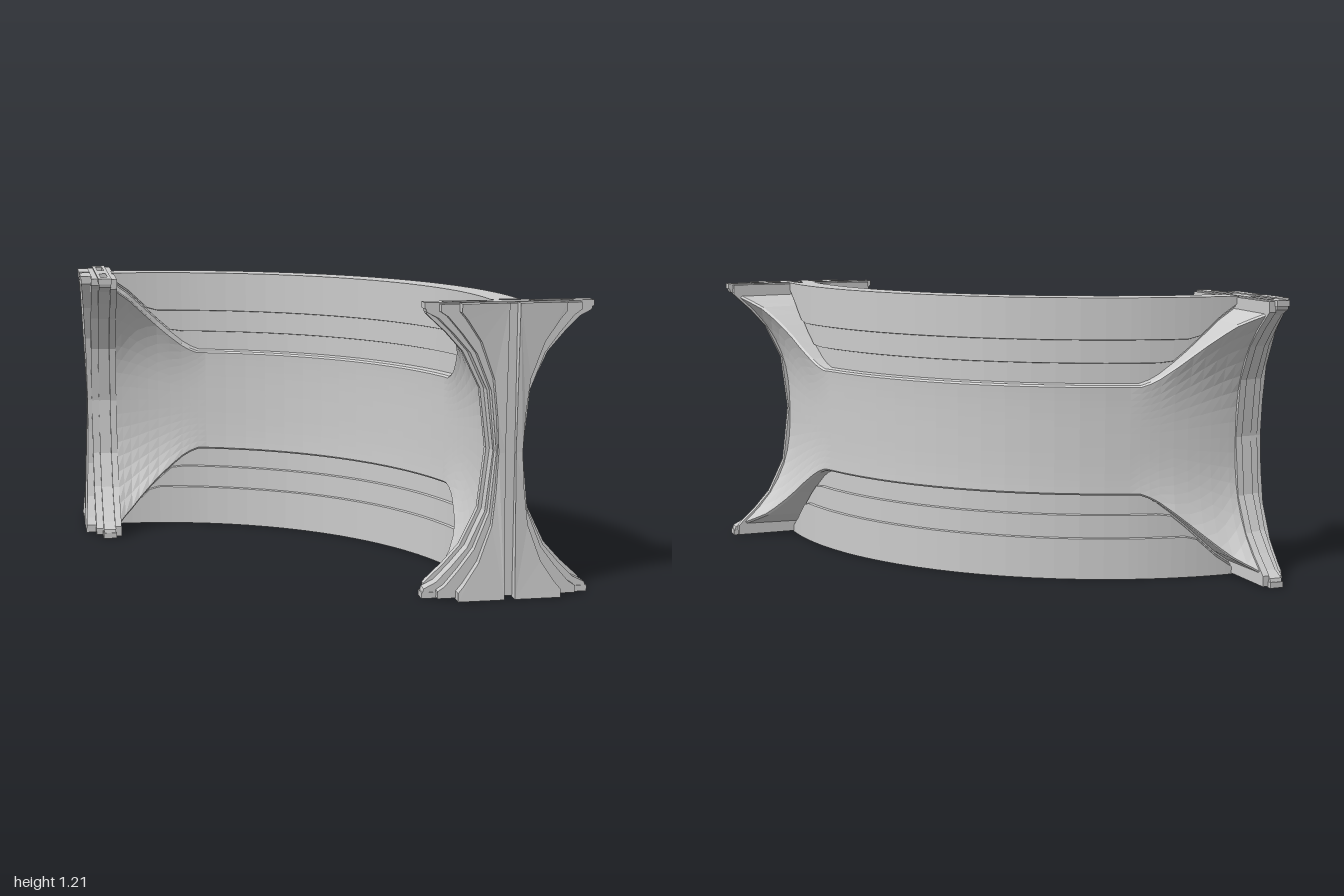
import * as THREE from 'three';

const MID = 0.605;    // half of the height
const RADIUS = 1.5;   // centre line of the curved wall
const LENGTH = RADIUS * Math.PI / 2;
const material = new THREE.MeshStandardMaterial({ color: 0xcccccc, flatShading: true });

// Piecewise linear lookup in [[x, y], ...]
function lookup(table, x) {
  if (x <= table[0][0]) return table[0][1];
  for (let i = 1; i < table.length; i++) {
    const [x0, y0] = table[i - 1], [x1, y1] = table[i];
    if (x <= x1) return y0 + (y1 - y0) * (x - x0) / (x1 - x0);
  }
  return table[table.length - 1][1];
}

// Half height and edge offset of the panel, by distance from the nearest end
const PANEL_HEIGHT = [[0, 0.545], [0.08, 0.49], [0.25, 0.335], [0.36, 0.25], [0.42, 0.228]];
const PANEL_FLARE = [[0, 0.31], [0.05, 0.25], [0.1, 0.2], [0.2, 0.135], [0.35, 0.09], [0.45, 0.075]];

// Closed wall section as [radial offset, y]: flared panel, then stepped bands
function wallSection(s) {
  const d = Math.min(s, LENGTH - s);
  const h = lookup(PANEL_HEIGHT, d), flare = lookup(PANEL_FLARE, d);
  const upper = [];
  for (let i = 0; i <= 8; i++) {
    const k = i / 8;
    upper.push([0.07 + (flare - 0.07) * Math.pow(k, 2.7), k * h]);
  }
  const y1 = Math.max(0.325, h + 0.02), y2 = Math.max(0.425, h + 0.03);
  upper.push([flare - 0.008, h + 0.008], [0.035, h + 0.012], [0.035, y1], [0.048, y1 + 0.003],
    [0.048, y2], [0.06, y2 + 0.003], [0.06, MID]);
  const lower = upper.slice(1).reverse().map(([o, y]) => [o, -y]);
  const outer = [...lower, ...upper];
  const inner = [...outer].reverse().map(([o, y]) => [-o, y]);
  return [...outer, ...inner];
}

function curvedWall() {
  const stations = [];
  const ends = [0, 0.04, 0.08, 0.12, 0.17, 0.22, 0.28, 0.34, 0.38, 0.42, 0.46];
  stations.push(...ends);
  for (let i = 1; i < 14; i++) stations.push(0.46 + (LENGTH - 0.92) * i / 14);
  stations.push(...ends.map(s => LENGTH - s).reverse());

  const positions = [], index = [];
  let n = 0;
  stations.forEach((s, i) => {
    const t = s / RADIUS, section = wallSection(s);
    n = section.length;
    section.forEach(([o, y], j) => {
      const r = RADIUS + o;
      positions.push(-0.85 + r * Math.sin(t), MID + y, 0.85 - r * Math.cos(t));
      if (i === stations.length - 1) return;
      const a = i * n + j, b = i * n + (j + 1) % n;
      index.push(a, b, a + n, b, b + n, a + n);
    });
  });
  const geometry = new THREE.BufferGeometry();
  geometry.setAttribute('position', new THREE.Float32BufferAttribute(positions, 3));
  geometry.setIndex(index);
  geometry.computeVertexNormals();
  return geometry;
}

function addMesh(parent, name, geometry) {
  const mesh = new THREE.Mesh(geometry, material);
  mesh.name = name;
  parent.add(mesh);
  return mesh;
}

// Hourglass slab from a half-width profile [[x, y], ...] starting at mid height
function hourglass(profile, z0, z1, innerX) {
  const right = [...profile.slice(1).reverse().map(([x, y]) => [x, -y]), ...profile];
  const top = profile[profile.length - 1][1];
  const left = innerX === undefined
    ? [...right].reverse().map(([x, y]) => [-x, y])
    : [[innerX, top], [innerX, 0], [innerX, -top]];
  const shape = new THREE.Shape([...right, ...left].map(([x, y]) => new THREE.Vector2(x, y)));
  const geometry = new THREE.ExtrudeGeometry(shape, { depth: z1 - z0, bevelEnabled: false });
  return geometry.translate(0, MID, z0);
}

// Slotted strip closing the top or bottom of the flange plate
function slottedCap() {
  const rect = (Path, x0, x1, y0, y1) => new Path([
    new THREE.Vector2(x0, y0), new THREE.Vector2(x1, y0),
    new THREE.Vector2(x1, y1), new THREE.Vector2(x0, y1)]);
  const shape = rect(THREE.Shape, -0.35, 0.35, 0.015, 0.075);
  shape.holes.push(rect(THREE.Path, 0.09, 0.27, 0.03, 0.06), rect(THREE.Path, -0.27, -0.09, 0.03, 0.06));
  const geometry = new THREE.ExtrudeGeometry(shape, { depth: 0.025, bevelEnabled: false });
  return geometry.rotateX(Math.PI / 2); // shape y becomes z, body hangs below y = 0
}

function endFlange() {
  const flange = new THREE.Group();
  addMesh(flange, 'flangeBase', hourglass(
    [[0.075, 0], [0.105, 0.25], [0.178, 0.4], [0.25, 0.48], [0.315, 0.54], [0.33, 0.555], [0.33, 0.6]], -0.01, 0.02));
  addMesh(flange, 'flangePlate', hourglass(
    [[0.06, 0], [0.09, 0.25], [0.16, 0.4], [0.23, 0.48], [0.29, 0.54], [0.34, 0.565], [0.345, 0.582]], 0.018, 0.072));
  addMesh(flange, 'flangeFace', hourglass(
    [[0.055, 0], [0.08, 0.25], [0.14, 0.4], [0.2, 0.48], [0.26, 0.55], [0.29, 0.57], [0.29, 0.6]], 0.07, 0.105));

  // Two mating pads with a groove between, hollowed toward mid height
  for (const side of [1, -1]) {
    const pad = hourglass([[0.05, 0], [0.058, 0.15], [0.075, 0.3], [0.13, 0.45], [0.19, 0.54],
      [0.215, 0.57], [0.215, MID]], 0.1, 0.15, 0.022);
    const p = pad.attributes.position;
    for (let i = 0; i < p.count; i++) {
      const k = (p.getY(i) - MID) / MID;
      if (p.getZ(i) > 0.12) p.setZ(i, 0.15 - 0.025 * (1 - k * k));
    }
    if (side < 0) pad.rotateZ(Math.PI).translate(0, 2 * MID, 0);
    pad.computeVertexNormals();
    addMesh(flange, side > 0 ? 'leftMatingPad' : 'rightMatingPad', pad);
  }

  const topCap = addMesh(flange, 'topSlottedCap', slottedCap());
  topCap.position.y = 2 * MID;
  const bottomCap = addMesh(flange, 'bottomSlottedCap', slottedCap());
  bottomCap.rotation.z = Math.PI;
  return flange;
}

export function createModel() {
  const model = new THREE.Group();
  model.name = 'curvedWallSection';
  addMesh(model, 'curvedWall', curvedWall());

  const front = endFlange();
  front.name = 'frontFlange';
  front.position.set(0.65, 0, 0.85);

  const side = endFlange();
  side.name = 'sideFlange';
  side.position.set(-0.85, 0, -0.65);
  side.rotation.y = -Math.PI / 2;

  model.add(front, side);
  return model;
}
